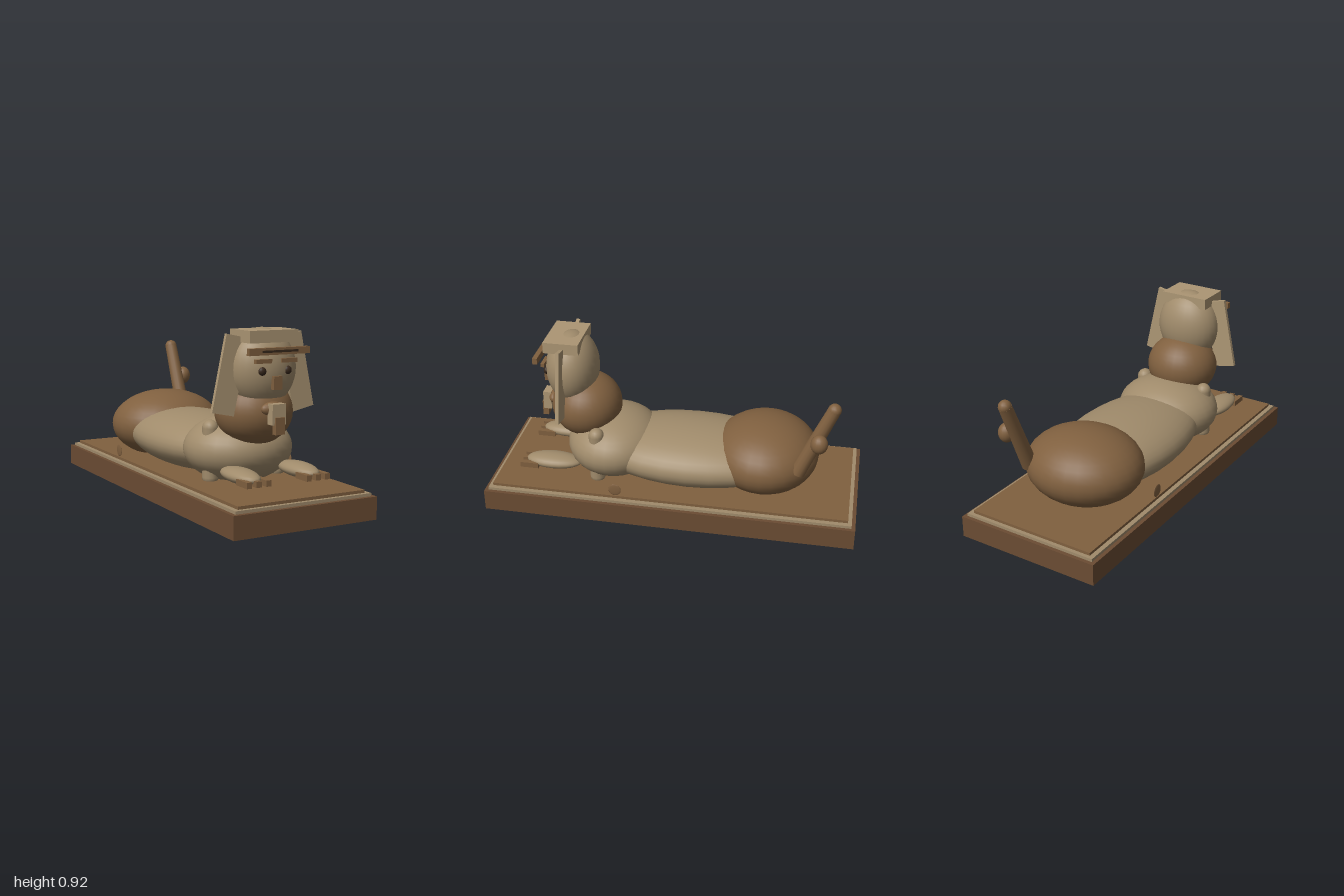
import * as THREE from 'three';

const material = (color) => new THREE.MeshStandardMaterial({ color });
const tan = material(0xa08b6b);
const cloth = material(0xac9674);
const brown = material(0x80603f);
const darkBrown = material(0x6b4c33);
const dark = material(0x38281c);

export function createModel() {
  const model = new THREE.Group();

  const add = (name, geometry, mat, x, y, z) => {
    const mesh = new THREE.Mesh(geometry, mat);
    mesh.name = name;
    mesh.position.set(x, y, z);
    model.add(mesh);
    return mesh;
  };
  const box = (name, mat, w, h, d, x, y, z) =>
    add(name, new THREE.BoxGeometry(w, h, d), mat, x, y, z);
  const ellipsoid = (name, mat, rx, ry, rz, x, y, z, segments = 28) =>
    add(name, new THREE.SphereGeometry(1, segments, Math.round(segments * 0.7)).scale(rx, ry, rz), mat, x, y, z);

  // Stepped plinth
  box('plinth', darkBrown, 0.8, 0.115, 2, 0, 0.0575, 0);
  box('plinthMiddleStep', tan, 0.76, 0.016, 1.96, 0, 0.122, 0);
  box('plinthTopStep', brown, 0.71, 0.016, 1.92, 0, 0.137, 0);

  // Reclining body
  ellipsoid('torso', tan, 0.31, 0.155, 0.58, 0, 0.27, -0.09);
  ellipsoid('haunches', brown, 0.318, 0.195, 0.29, 0, 0.3, -0.485);
  ellipsoid('chest', tan, 0.29, 0.177, 0.26, 0, 0.29, 0.35);

  // Neck and head
  ellipsoid('mane', brown, 0.2, 0.175, 0.192, 0, 0.5, 0.505);
  ellipsoid('head', tan, 0.181, 0.2, 0.142, 0, 0.722, 0.575);

  // Headdress
  box('headdressTop', cloth, 0.274, 0.06, 0.19, 0, 0.883, 0.6);
  box('browBand', brown, 0.34, 0.034, 0.026, 0, 0.816, 0.733);
  box('browBandStripe', dark, 0.2, 0.011, 0.01, 0, 0.816, 0.745);

  // Face
  box('nose', brown, 0.048, 0.066, 0.03, 0, 0.661, 0.718);
  ellipsoid('mouth', brown, 0.067, 0.036, 0.03, 0, 0.53, 0.685, 18);
  box('beardUpper', cloth, 0.076, 0.102, 0.045, 0, 0.509, 0.722);
  box('beardLower', brown, 0.052, 0.084, 0.032, 0, 0.454, 0.739);

  // Paired parts
  for (const side of [-1, 1]) {
    const label = side > 0 ? 'left' : 'right';

    const panel = box(label + 'HeaddressPanel', cloth, 0.123, 0.386, 0.02, side * 0.1925, 0.6955, 0.595);
    panel.rotation.z = side * 0.207;

    ellipsoid(label + 'Eye', dark, 0.021, 0.021, 0.014, side * 0.072, 0.718, 0.703, 16);
    box(label + 'Eyebrow', brown, 0.089, 0.02, 0.02, side * 0.0725, 0.767, 0.71);

    add(label + 'Shoulder', new THREE.CapsuleGeometry(0.042, 0.25, 6, 14), tan, side * 0.195, 0.286, 0.41);
    ellipsoid(label + 'Foreleg', tan, 0.071, 0.038, 0.155, side * 0.168, 0.213, 0.662, 22);
    for (const toe of [-1, 0, 1])
      box(label + 'Toe', brown, 0.028, 0.03, 0.1, side * 0.168 + toe * 0.053, 0.202, 0.788);
  }

  // Small upright discs at the plinth edges
  ellipsoid('leftDisc', brown, 0.004, 0.034, 0.034, 0.357, 0.185, 0.278, 16);
  ellipsoid('rightDisc', brown, 0.004, 0.034, 0.034, -0.357, 0.185, -0.355, 16);

  // Raised tail: tapered stem, rounded tip and side knob
  const start = new THREE.Vector3(0.212, 0.32, -0.675);
  const end = new THREE.Vector3(0.212, 0.712, -0.84);
  const direction = end.clone().sub(start);
  const middle = start.clone().add(end).multiplyScalar(0.5);
  const stem = add('tailStem', new THREE.CylinderGeometry(0.035, 0.042, direction.length(), 14), brown,
    middle.x, middle.y, middle.z);
  stem.quaternion.setFromUnitVectors(new THREE.Vector3(0, 1, 0), direction.normalize());
  ellipsoid('tailTip', brown, 0.035, 0.035, 0.035, end.x, end.y, end.z, 14);
  ellipsoid('tailKnob', brown, 0.043, 0.052, 0.045, 0.263, 0.533, -0.778, 18);

  return model;
}
